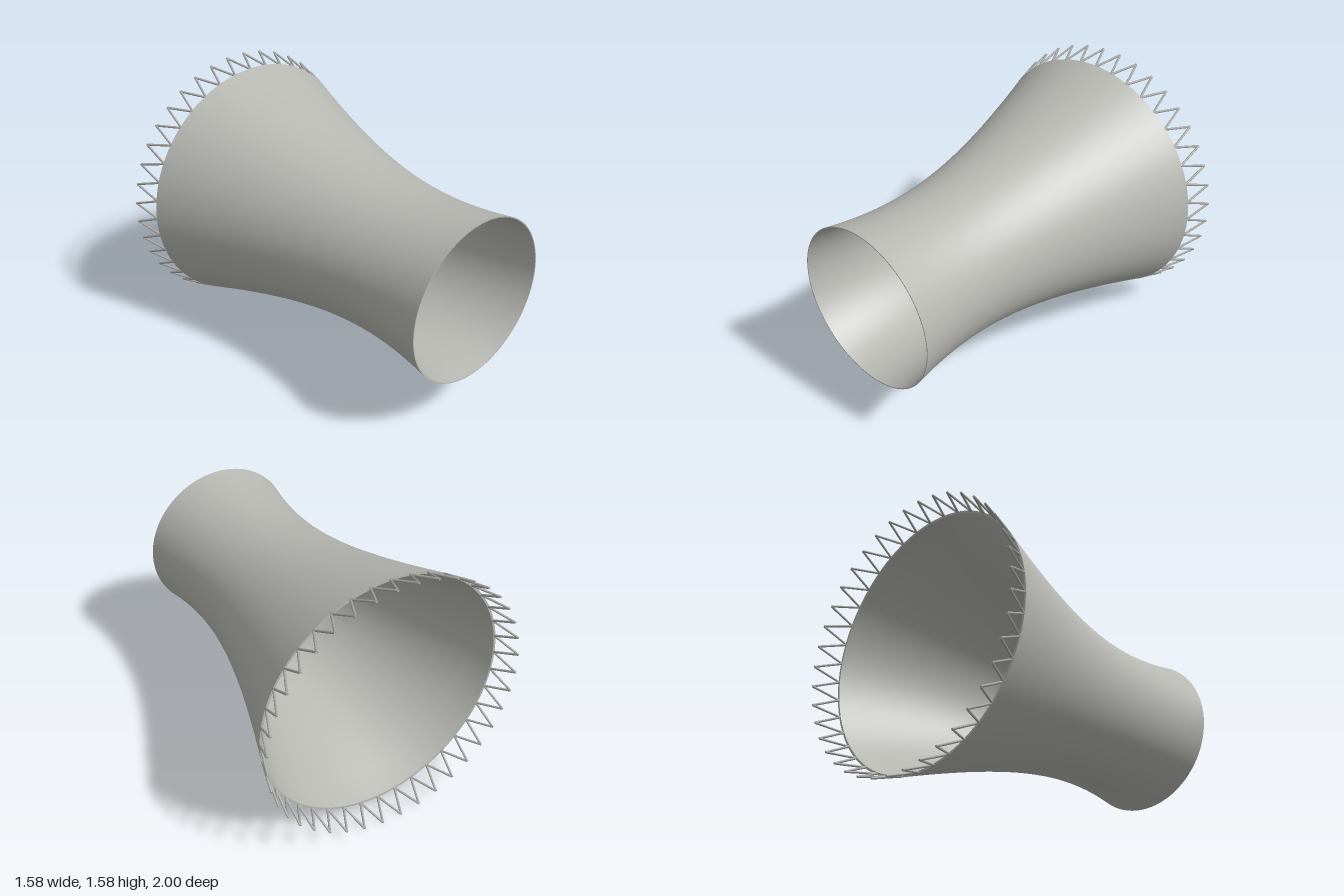
import * as THREE from 'three';
import { toCreasedNormals } from 'three/addons/utils/BufferGeometryUtils.js';

const AXIS_Y = 0.79;
const THROAT_Z = 0.54, THROAT_R = 0.435;
const BASE_Z = -0.85, BASE_R = 0.745, FOOT_R = 0.785;
const LEG_PAIRS = 40, LEG_R = 0.0065;

// Hyperbolic outline: radius of the shell at a given z
const shellRadius = (z) => THROAT_R * Math.hypot(1, z - THROAT_Z);

export function createModel() {
  const tower = new THREE.Group();
  tower.name = 'coolingTower';
  const concrete = new THREE.MeshStandardMaterial({ color: 0xb8b8b3 });
  concrete.name = 'concrete grey';
  const legGrey = new THREE.MeshStandardMaterial({ color: 0xa6a6a3 });
  legGrey.name = 'leg grey';

  // Thin shell: outer wall towards the mouth, then back along the inner wall
  const outer = [], inner = [];
  const rows = 36, start = -0.75;
  outer.push(new THREE.Vector2(BASE_R, BASE_Z));
  inner.push(new THREE.Vector2(BASE_R - 0.013, BASE_Z));
  for (let i = 0; i <= rows; i++) {
    const z = start + (1 - start) * i / rows;
    const r = shellRadius(z);
    outer.push(new THREE.Vector2(r, z));
    inner.push(new THREE.Vector2(r - 0.006, z));
  }
  const profile = [...outer, ...inner.reverse(), outer[0].clone()];
  const shellGeometry = toCreasedNormals(new THREE.LatheGeometry(profile, 120), 0.6);
  shellGeometry.rotateX(Math.PI / 2);
  const shell = new THREE.Mesh(shellGeometry, concrete);
  shell.name = 'shell';
  shell.position.y = AXIS_Y;
  tower.add(shell);

  // Ring of slanted legs zigzagging between the shell rim and the feet
  const legs = new THREE.Group();
  legs.name = 'legRing';
  legs.position.y = AXIS_Y;
  const around = (r, a, z) => new THREE.Vector3(r * Math.sin(a), r * Math.cos(a), z);
  const up = new THREE.Vector3(0, 1, 0);
  const step = Math.PI * 2 / LEG_PAIRS;
  const rimR = BASE_R - 0.006, rimZ = BASE_Z + 0.003, footZ = -0.996;
  const length = around(rimR, 0, rimZ).distanceTo(around(FOOT_R, step / 2, footZ));
  const legGeometry = new THREE.CylinderGeometry(LEG_R, LEG_R, length, 8);
  for (let i = 0; i < LEG_PAIRS; i++) {
    const foot = around(FOOT_R, (i + 0.5) * step, footZ);
    for (const side of [0, 1]) {
      const top = around(rimR, (i + side) * step, rimZ);
      const leg = new THREE.Mesh(legGeometry, legGrey);
      leg.name = 'leg';
      leg.position.copy(top).add(foot).multiplyScalar(0.5);
      leg.quaternion.setFromUnitVectors(up, top.sub(foot).normalize());
      legs.add(leg);
    }
  }
  tower.add(legs);
  return tower;
}
